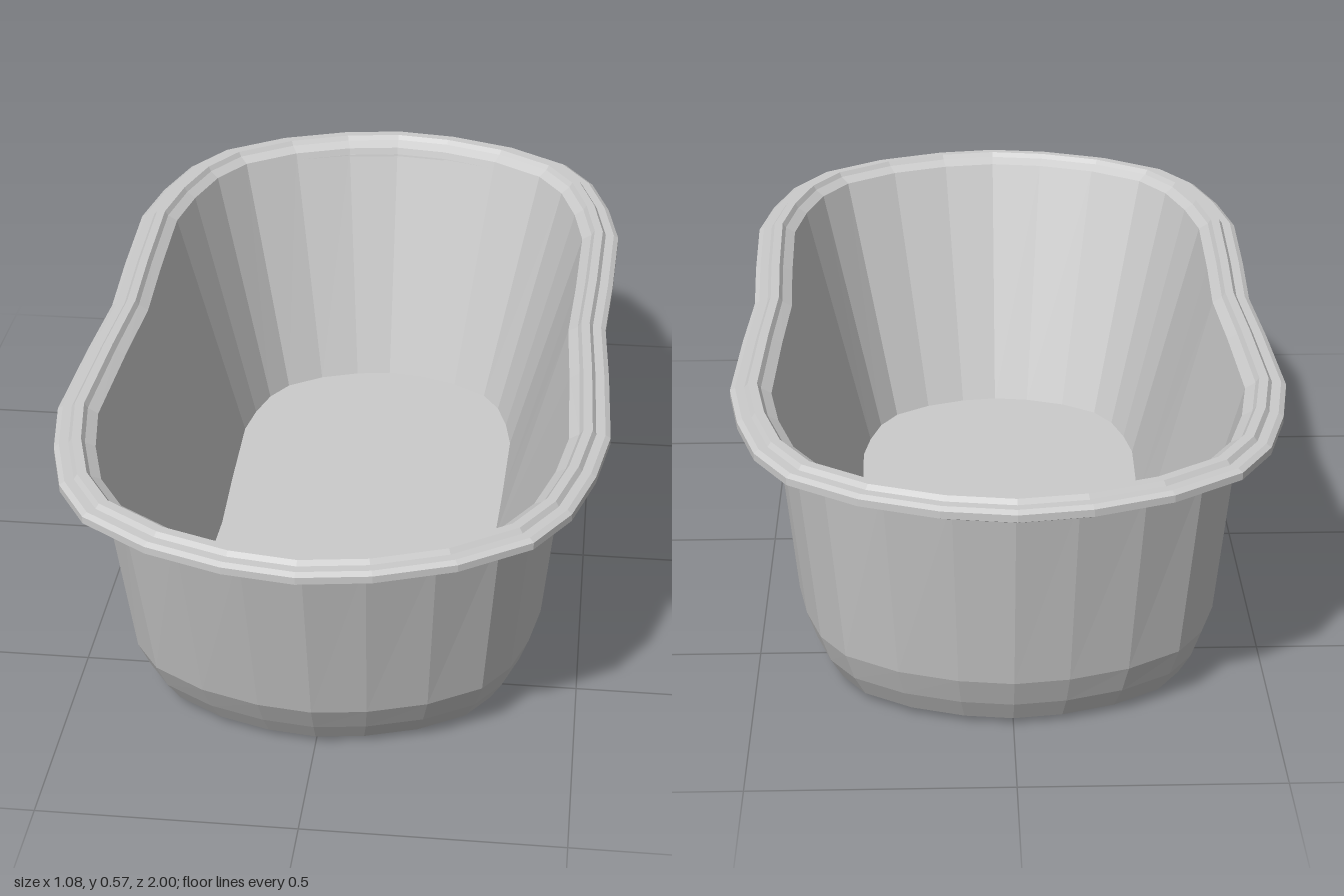
import * as THREE from 'three';

// Quarter outline: [width fraction, straight-side fraction, end-cap fraction]
const QUARTER = [
  [0, 1, 1], [0.25, 1, 0.965], [0.52, 1, 0.87], [0.76, 1, 0.71], [0.88, 1, 0.52],
  [0.955, 1, 0.27], [1, 1, 0], [0.985, 0.45, 0], [0.965, 0, 0],
];

// Full outline, running from the front end over +x to the back and round again
function outline() {
  const right = [...QUARTER, ...QUARTER.slice(0, -1).reverse().map(([u, m, t]) => [u, -m, -t])];
  const left = right.slice(1, -1).reverse().map(([u, m, t]) => [-u, m, t]);
  return [...right, ...left];
}

// Lofts waisted oval rings: [y, half width, front z, back z, straight half length]
function loft(name, rings, material) {
  const pts = outline();
  const n = pts.length;
  const pos = [];
  const index = [];
  for (const [y, w, front, back, straight] of rings) {
    const mid = (front - back) / 2;
    const half = (front + back) / 2;
    for (const [u, m, t] of pts) pos.push(u * w, y, mid + m * straight + t * (half - straight));
  }
  for (let j = 0; j < rings.length - 1; j++) {
    for (let i = 0; i < n; i++) {
      const a = j * n + i, b = j * n + (i + 1) % n;
      index.push(a, b, b + n, a, b + n, a + n);
    }
  }
  const indexed = new THREE.BufferGeometry();
  indexed.setAttribute('position', new THREE.Float32BufferAttribute(pos, 3));
  indexed.setIndex(index);
  const geometry = indexed.toNonIndexed();
  geometry.computeVertexNormals();
  const mesh = new THREE.Mesh(geometry, material);
  mesh.name = name;
  return mesh;
}

// Rim ring given by its height and half width, with an even margin all round
const rimRing = (y, w) => [y, w, w + 0.46, w + 0.46, 0.45];

export function createModel() {
  const group = new THREE.Group();
  group.name = 'tub';
  const material = new THREE.MeshStandardMaterial({
    color: 0xcccccc, flatShading: true, side: THREE.DoubleSide,
  });

  const wallTop = [0.535, 0.46, 0.92, 0.915, 0.45];
  const basinTop = rimRing(0.55, 0.46);

  // Flat underside, rounded lower edge and tapering outer wall
  group.add(loft('outerShell', [
    [0, 0, -0.02, 0.02, 0],
    [0, 0.325, 0.69, 0.74, 0.41],
    [0.015, 0.375, 0.735, 0.785, 0.415],
    [0.06, 0.40, 0.765, 0.81, 0.42],
    [0.12, 0.42, 0.80, 0.835, 0.425],
    wallTop,
  ], material));

  // Overhanging lip with a raised bead
  group.add(loft('rim', [
    wallTop,
    rimRing(0.535, 0.525),
    rimRing(0.543, 0.54),
    rimRing(0.557, 0.54),
    rimRing(0.563, 0.53),
    rimRing(0.563, 0.512),
    rimRing(0.572, 0.505),
    rimRing(0.572, 0.487),
    rimRing(0.562, 0.48),
    basinTop,
  ], material));

  // Sloping inner wall and floor
  group.add(loft('basin', [
    basinTop,
    [0.015, 0.315, 0.71, 0.76, 0.42],
    [0.015, 0, -0.02, 0.02, 0],
  ], material));

  return group;
}
